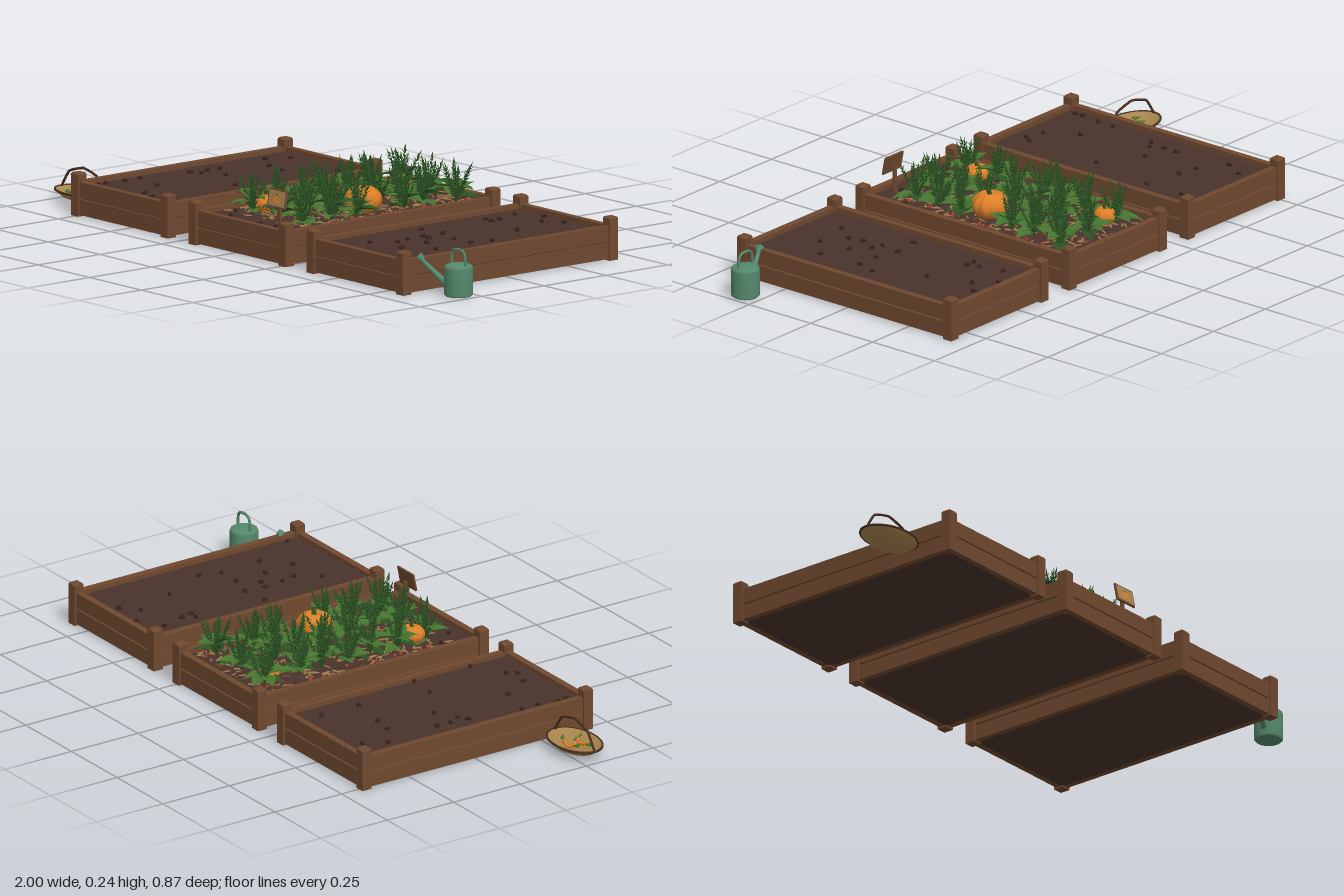
import * as THREE from 'three';
import { mergeGeometries } from 'three/addons/utils/BufferGeometryUtils.js';

const material = (name, color, side = THREE.FrontSide) => {
  const m = new THREE.MeshStandardMaterial({ color, side });
  m.name = name;
  return m;
};

// Copy of a geometry, turned (yaw last), scaled and moved
function placed(geo, pos, rot = [0, 0, 0], scale = 1) {
  const s = Array.isArray(scale) ? scale : [scale, scale, scale];
  const q = new THREE.Quaternion().setFromEuler(new THREE.Euler(...rot, 'YXZ'));
  return geo.clone().applyMatrix4(new THREE.Matrix4().compose(
    new THREE.Vector3(...pos), q, new THREE.Vector3(...s)));
}

const box = (w, h, d, x, y, z) => new THREE.BoxGeometry(w, h, d).translate(x, y, z);

function tube(points, radius, segments = 24, tension = 0.5) {
  const path = new THREE.CatmullRomCurve3(points.map(p => new THREE.Vector3(...p)), false, 'catmullrom', tension);
  return new THREE.TubeGeometry(path, segments, radius, 8);
}

function rod(a, b, ra, rb) {
  const A = new THREE.Vector3(...a), B = new THREE.Vector3(...b), d = B.clone().sub(A);
  const geo = new THREE.CylinderGeometry(rb, ra, d.length(), 14);
  geo.applyQuaternion(new THREE.Quaternion().setFromUnitVectors(new THREE.Vector3(0, 1, 0), d.normalize()));
  return geo.translate(...A.add(B).multiplyScalar(0.5).toArray());
}

// Broad pointed leaf lying along +z, arched and folded along the midrib
function leafGeometry(length, width) {
  const geo = new THREE.PlaneGeometry(width, length, 4, 6).rotateX(-Math.PI / 2).translate(0, 0, length / 2);
  const p = geo.attributes.position;
  for (let i = 0; i < p.count; i++) {
    const t = p.getZ(i) / length;
    const x = p.getX(i) * Math.max(0.04, Math.sin(Math.PI * Math.pow(t, 0.8)));
    p.setXYZ(i, x, Math.abs(x) * 0.35 - t * t * length * 0.3, p.getZ(i));
  }
  geo.computeVertexNormals();
  return geo;
}

// Upright stalk with whorls of small leaves
function stalkGeometry() {
  const parts = [new THREE.CylinderGeometry(0.0008, 0.0018, 0.115, 5).translate(0, 0.0575, 0)];
  const bud = new THREE.ConeGeometry(0.0045, 0.02, 4).translate(0, 0.01, 0).scale(1, 1, 0.5);
  for (let i = 0; i < 8; i++)
    for (let k = 0; k < 3; k++)
      parts.push(placed(bud, [0, 0.02 + i * 0.0115, 0], [0.75, i * 0.9 + k * 2.094, 0], 1.1 - i * 0.05));
  parts.push(placed(bud, [0, 0.108, 0]));
  return mergeGeometries(parts);
}

// Ribbed, flattened ball
function pumpkinGeometry(r) {
  const geo = new THREE.SphereGeometry(r, 48, 20);
  const p = geo.attributes.position;
  for (let i = 0; i < p.count; i++) {
    const x = p.getX(i), y = p.getY(i), z = p.getZ(i);
    const k = 0.93 + 0.07 * Math.abs(Math.sin(Math.atan2(z, x) * 5)) * 1.4;
    const dip = 1 - 0.25 * Math.exp(-(x * x + z * z) / (r * r * 0.08));
    p.setXYZ(i, x * k, y * 0.78 * dip, z * k);
  }
  geo.computeVertexNormals();
  return geo;
}

export function createModel() {
  let seed = 7;
  const rand = (a = 0, b = 1) => {
    seed = (seed * 16807) % 2147483647;
    return a + (b - a) * seed / 2147483647;
  };
  const wood = material('wood', 0x70492f);
  const darkWood = material('dark wood', 0x4a3020);
  const soil = material('soil', 0x4a332c);
  const pebble = material('clod', 0x33221d);
  const leafGreen = material('leaf green', 0x47752f, THREE.DoubleSide);
  const herbGreen = material('herb green', 0x2c5424, THREE.DoubleSide);
  const orange = material('orange', 0xdf7f28);
  const straw = material('straw', 0xa8844e, THREE.DoubleSide);
  const canGreen = material('can green', 0x55896c);
  const red = material('red', 0xa8402f);

  const model = new THREE.Group();
  const add = (parent, name, geo, mat) => {
    const mesh = new THREE.Mesh(Array.isArray(geo) ? mergeGeometries(geo) : geo, mat);
    mesh.name = name;
    parent.add(mesh);
    return mesh;
  };

  // Raised beds: planks, corner posts, soil
  const SOIL_Y = 0.095;
  const beds = [-0.535, 0.035, 0.605].map((x, i) => {
    const bed = new THREE.Group();
    bed.name = ['rightBed', 'middleBed', 'leftBed'][i];
    bed.position.x = x;
    model.add(bed);
    const planks = [], gaps = [], posts = [];
    for (const s of [-1, 1]) {
      for (const y of [0.03, 0.0845]) {
        planks.push(box(0.022, 0.05, 0.82, s * 0.216, y, 0), box(0.41, 0.05, 0.022, 0, y, s * 0.416));
      }
      gaps.push(box(0.012, 0.09, 0.82, s * 0.212, 0.053, 0), box(0.41, 0.09, 0.012, 0, 0.053, s * 0.412));
      for (const t of [-1, 1]) {
        posts.push(box(0.034, 0.132, 0.034, s * 0.217, 0.066, t * 0.417));
        posts.push(new THREE.CylinderGeometry(0.019, 0.024, 0.005, 4).rotateY(Math.PI / 4)
          .translate(s * 0.217, 0.1345, t * 0.417));
      }
    }
    add(bed, 'planks', planks, wood);
    add(bed, 'plankGaps', gaps, darkWood);
    add(bed, 'cornerPosts', posts, wood);
    add(bed, 'soil', box(0.414, SOIL_Y - 0.005, 0.814, 0, (SOIL_Y + 0.005) / 2, 0), soil);
    return bed;
  });

  // Clods on the bare soil, x and z in hundredths
  const clods = [
    [-11, -35, 14, -33, -15, -28, 14, -19, 1, -21, -6, -22, -13, -8, -13, -3, -11, 1, -14, 3, -4, -3,
      10, 5, 20, 6, -17, 21, -17, 27, -18, 34, -18, 37, -5, 24, 1, 34, 9, 33, 7, 36, 20, 27],
    [10, 36, -12, 36, 3, 37, -17, 30, 18, 28],
    [-6, -38, 5, -37, -14, -33, 0, -32, -12, -25, -14, -21, -11, -21, 5, -18, -15, 4, -6, 3, 12, -2,
      2, 5, 10, 5, -7, 10, -3, 11, -6, 17, 2, 16, 11, 20, 3, 27, -5, 22, -10, 29, 19, 36]];
  clods.forEach((list, b) => {
    const parts = [];
    for (let i = 0; i < list.length; i += 2)
      parts.push(placed(new THREE.DodecahedronGeometry(1), [list[i] / 100, SOIL_Y + 0.002, list[i + 1] / 100],
        [rand(0, 3), rand(0, 3), 0], [rand(0.008, 0.012), 0.007, rand(0.008, 0.012)]));
    add(beds[b], 'clods', parts, pebble);
  });

  // Planting in the middle bed
  const garden = new THREE.Group();
  garden.name = 'planting';
  model.add(garden);
  const stalk = stalkGeometry(), leaf = leafGeometry(0.08, 0.056);
  const stalks = [], leaves = [], darkLeaves = [];
  for (const z of [0.275, 0.17, 0.075, -0.02, -0.115, -0.2, -0.33]) {
    [-0.085, 0.055, 0.175].forEach((x, c) => {
      if (c === 2 && z === -0.02) return;
      const px = x + rand(-0.012, 0.012), pz = z + rand(-0.008, 0.008);
      for (let k = 0; k < 9; k++)
        stalks.push(placed(stalk, [px, SOIL_Y, pz], [rand(0.05, 0.48), k * 2.4 + rand(0, 0.5), 0],
          rand(0.85, 1.12) * (c === 1 ? 0.95 : 1)));
      for (let k = 0; k < 9; k++)
        (k % 4 === 3 ? darkLeaves : leaves).push(placed(leaf, [px, SOIL_Y + rand(0.008, 0.045), pz],
          [-rand(0.2, 0.7), k * 0.7 + rand(0, 0.4), rand(-0.2, 0.2)], rand(0.7, 1)));
    });
  }
  add(garden, 'herbStalks', stalks, herbGreen);
  add(garden, 'broadLeaves', leaves, leafGreen);
  add(garden, 'shadedLeaves', darkLeaves, herbGreen);

  // Pumpkins with stems
  [[0.13, 0.005, 0.058], [-0.075, 0.23, 0.04], [-0.06, -0.3, 0.036]].forEach(([x, z, r]) => {
    const y = SOIL_Y + r * 0.72;
    add(garden, 'pumpkin', pumpkinGeometry(r).translate(x, y, z), orange);
    add(garden, 'pumpkinStem', rod([x, y + r * 0.45, z], [x + r * 0.15, y + r * 0.95, z], r * 0.16, r * 0.1), herbGreen);
  });

  // Straw mulch and fallen berries around the plants
  const mulch = [], chips = [], berries = [];
  const twig = new THREE.BoxGeometry(0.024, 0.003, 0.004);
  for (let i = 0; i < 330; i++) {
    const pos = [rand(-0.15, 0.222), SOIL_Y + rand(0.001, 0.006), rand(-0.385, 0.325)];
    (i % 5 ? mulch : chips).push(placed(twig, pos, [0, rand(0, 3.14), rand(-0.2, 0.2)], rand(0.7, 1.2)));
  }
  for (let i = 0; i < 26; i++)
    berries.push(new THREE.SphereGeometry(0.006, 8, 6)
      .translate(i % 2 ? rand(0.19, 0.225) : rand(-0.15, -0.115), SOIL_Y + 0.005, rand(-0.37, 0.32)));
  add(garden, 'strawMulch', mulch, straw);
  add(garden, 'barkMulch', chips, wood);
  add(garden, 'berries', berries, red);

  // Garden sign, leaning back
  add(garden, 'signPost', box(0.012, 0.1, 0.008, 0.16, 0.135, 0.366), wood);
  const sign = new THREE.Group();
  sign.name = 'sign';
  sign.position.set(0.16, 0.192, 0.374);
  sign.rotation.x = -0.2;
  garden.add(sign);
  add(sign, 'signBack', box(0.086, 0.058, 0.006, 0, 0, 0), wood);
  add(sign, 'signFace', box(0.076, 0.048, 0.003, 0, 0, 0.003), straw);
  add(sign, 'signPumpkin', new THREE.CircleGeometry(0.013, 20).scale(1.15, 0.9, 1).translate(0, -0.003, 0.0055), orange);
  add(sign, 'signPumpkinStem', box(0.004, 0.008, 0.001, 0, 0.011, 0.005), herbGreen);

  // Harvest basket with carrots
  const basket = new THREE.Group();
  basket.name = 'basket';
  basket.position.set(-0.885, 0, 0.285);
  model.add(basket);
  const bowl = [[0, 0.008], [0.05, 0.009], [0.085, 0.018], [0.113, 0.038], [0.108, 0.039], [0.08, 0.022], [0, 0.014]];
  add(basket, 'bowl', new THREE.LatheGeometry(bowl.map(p => new THREE.Vector2(...p)), 40).scale(1, 1, 0.64), straw);
  add(basket, 'rim', new THREE.TorusGeometry(0.111, 0.004, 8, 40).rotateX(Math.PI / 2)
    .scale(1, 1, 0.65).translate(0, 0.038, 0), darkWood);
  add(basket, 'handle', tube([[-0.108, 0.038, 0], [-0.07, 0.092, 0], [0, 0.111, 0], [0.07, 0.092, 0], [0.108, 0.038, 0]],
    0.004, 30, 0.2), darkWood);
  const roots = [], tops = [];
  [[-0.03, 0.02, 0.4], [0.02, 0.025, 1.9], [0.03, -0.02, 2.6], [-0.02, -0.02, 0.9], [0.0, 0.0, 2.2]].forEach(([x, z, a]) => {
    const dx = Math.cos(a), dz = -Math.sin(a) * 0.6;
    roots.push(rod([x, 0.029, z], [x + dx * 0.045, 0.025, z + dz * 0.045], 0.007, 0.001));
    for (let k = -1; k <= 1; k++)
      tops.push(rod([x, 0.03, z], [x - dx * 0.026 + k * 0.006, 0.035, z - dz * 0.026 + k * 0.008], 0.002, 0.003));
  });
  add(basket, 'carrots', roots, orange);
  add(basket, 'carrotTops', tops, leafGreen);

  // Watering can
  const can = new THREE.Group();
  can.name = 'wateringCan';
  can.position.set(0.952, 0, 0.305);
  model.add(can);
  const profile = [[0, 0.002], [0.04, 0.002], [0.045, 0.007], [0.045, 0.09], [0.042, 0.097], [0.032, 0.102], [0, 0.104]];
  add(can, 'canBody', new THREE.LatheGeometry(profile.map(p => new THREE.Vector2(...p)), 36), canGreen);
  add(can, 'canHandle', tube([[-0.034, 0.096, 0], [-0.028, 0.138, 0], [0, 0.148, 0], [0.028, 0.138, 0], [0.034, 0.096, 0]],
    0.0045), canGreen);
  add(can, 'spout', rod([-0.035, 0.03, 0.012], [-0.118, 0.1, 0.046], 0.011, 0.006), canGreen);
  add(can, 'spoutHead', rod([-0.115, 0.098, 0.045], [-0.131, 0.112, 0.052], 0.007, 0.016), canGreen);

  return model;
}
